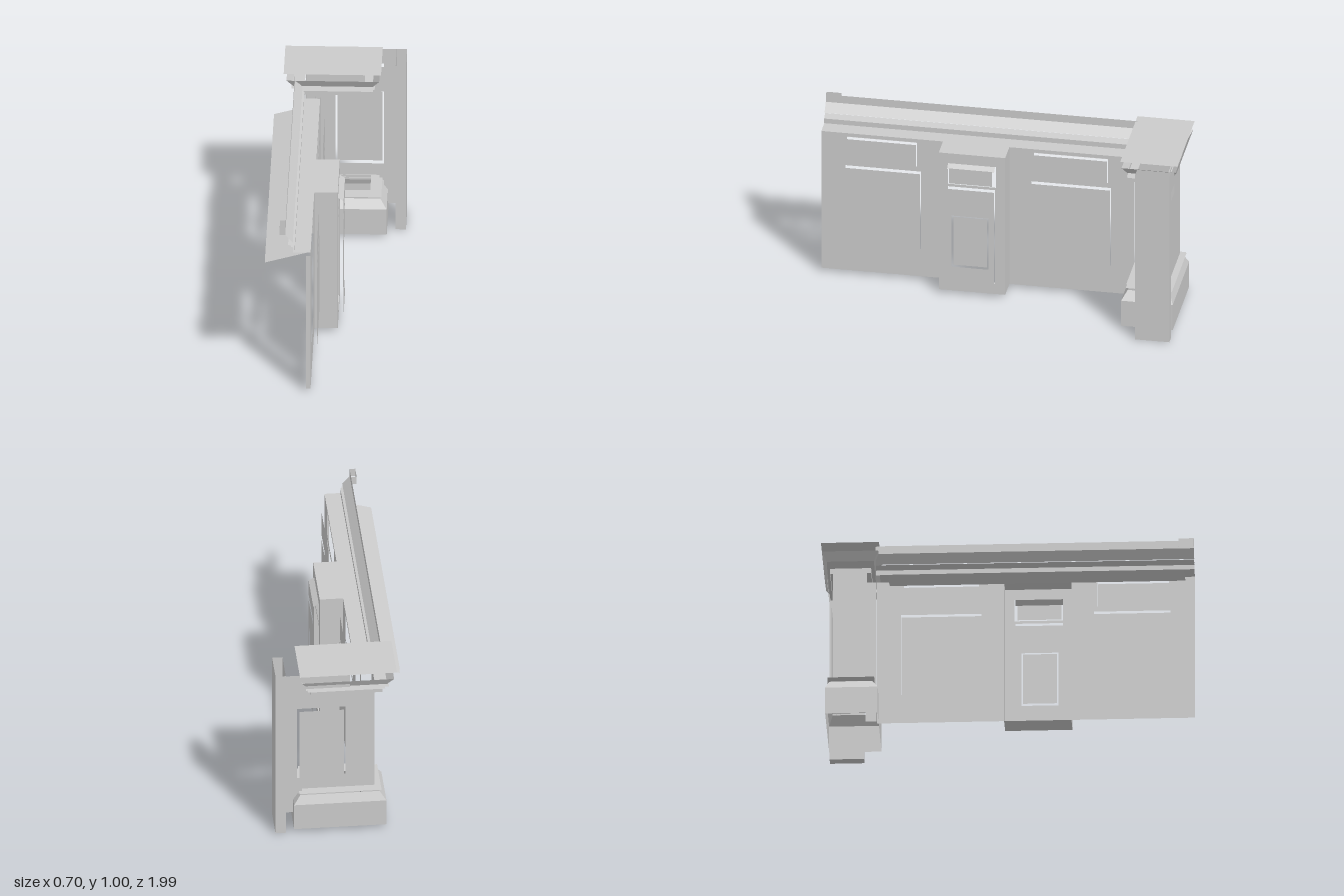
import * as THREE from 'three';

const mat = new THREE.MeshStandardMaterial({ color: 0xcccccc, side: THREE.DoubleSide, flatShading: true });

export function createModel() {
  const model = new THREE.Group();
  model.name = 'panelledCounter';

  const add = (name, geometry) => {
    const mesh = new THREE.Mesh(geometry, mat);
    mesh.name = name;
    model.add(mesh);
    return mesh;
  };

  // Ribbon: an open (x, y) profile carried along z from z0 to z1
  const ribbon = (name, profile, z0, z1) => {
    const pos = [], idx = [];
    profile.forEach(([x, y], i) => {
      pos.push(x, y, z0, x, y, z1);
      const a = 2 * i;
      if (i < profile.length - 1) idx.push(a, a + 1, a + 3, a, a + 3, a + 2);
    });
    const g = new THREE.BufferGeometry();
    g.setAttribute('position', new THREE.Float32BufferAttribute(pos, 3));
    g.setIndex(idx);
    g.computeVertexNormals();
    return add(name, g);
  };

  // Flat sheet with rectangular holes; rectangles are [u0, u1, v0, v1]
  const outline = ([a, b, c, d], path) =>
    path.moveTo(a, c).lineTo(b, c).lineTo(b, d).lineTo(a, d).closePath();
  const sheet = (rect, holes = []) => {
    const s = new THREE.Shape();
    outline(rect, s);
    holes.forEach((h) => {
      const p = new THREE.Path();
      outline(h, p);
      s.holes.push(p);
    });
    return new THREE.ShapeGeometry(s);
  };
  // Facing x, rectangles given as [z0, z1, y0, y1]
  const sideSheet = (name, x, rect, holes = []) => {
    const flip = ([a, b, c, d]) => [-b, -a, c, d];
    return add(name, sheet(flip(rect), holes.map(flip)).rotateY(Math.PI / 2).translate(x, 0, 0));
  };
  // Facing z, rectangles given as [x0, x1, y0, y1]
  const frontSheet = (name, z, rect, holes) => add(name, sheet(rect, holes).translate(0, 0, z));
  // Facing up, rectangles given as [x0, x1, z0, z1]
  const flatSheet = (name, y, rect, holes = []) => {
    const flip = ([a, b, c, d]) => [a, b, -d, -c];
    return add(name, sheet(flip(rect), holes.map(flip)).rotateX(-Math.PI / 2).translate(0, y, 0));
  };

  // Open rectangular band through rings of [y, x0, x1, z0, z1]
  const band = (name, rings) => {
    const pos = [], idx = [];
    rings.forEach(([y, x0, x1, z0, z1], r) => {
      pos.push(x0, y, z1, x1, y, z1, x1, y, z0, x0, y, z0);
      if (r === 0) return;
      for (let i = 0; i < 4; i++) {
        const j = (i + 1) % 4, a = 4 * (r - 1), b = 4 * r;
        idx.push(a + i, a + j, b + j, a + i, b + j, b + i);
      }
    });
    const g = new THREE.BufferGeometry();
    g.setAttribute('position', new THREE.Float32BufferAttribute(pos, 3));
    g.setIndex(idx);
    return add(name, g.toNonIndexed());
  };

  // Long wall: two bays, each with a large and a small opening and raised panels
  const bays = [
    { wall: [0.34, 1, 0.02, 0.85], panels: [[0.46, 0.87, 0.185, 0.655], [0.48, 0.86, 0.685, 0.83]] },
    { wall: [-0.7, -0.02, 0.02, 0.85], panels: [[-0.57, -0.14, 0.185, 0.655], [-0.555, -0.155, 0.685, 0.83]] },
  ];
  bays.forEach(({ wall, panels }) => {
    sideSheet('wallFrame', -0.105, wall, panels);
    panels.forEach((p) => sideSheet('wallPanel', -0.075, p));
  });
  frontSheet('wallEnd', 1, [-0.13, -0.105, 0.02, 0.83]);

  // Pillar in the middle of the wall, open at the back
  const pillarDoor = [0.035, 0.29, 0.08, 0.65];
  const pillarTop = [0.03, 0.29, 0.665, 0.79];
  const doorHole = [0.065, 0.265, 0.18, 0.49];
  sideSheet('pillarFace', 0.02, [-0.02, 0.34, 0.02, 0.85], [pillarDoor, pillarTop]);
  for (const z of [-0.02, 0.34]) frontSheet('pillarSide', z, [-0.105, 0.02, 0.02, 0.85]);
  flatSheet('pillarBottom', 0.02, [-0.105, 0.02, -0.02, 0.34]);
  flatSheet('pillarCap', 0.85, [-0.105, 0.02, -0.02, 0.34]);
  sideSheet('pillarDoor', 0.05, pillarDoor, [doorHole]);
  sideSheet('pillarDoorPanel', 0.045, [0.075, 0.255, 0.19, 0.48]);
  sideSheet('pillarTopPanel', 0.05, [0.045, 0.28, 0.685, 0.775]);
  ribbon('pillarTopLedge', [[0.02, 0.79], [0.05, 0.77]], 0.035, 0.29);

  // Sloping worktop of two thin layers
  for (const drop of [0, 0.022]) {
    ribbon('worktop', [[-0.35, 0.78 - drop], [-0.105, 0.85 - drop]], -0.63, 0.95);
  }

  // Ledge and rail mouldings along the wall
  ribbon('wallLedge', [[-0.2, 0.85], [-0.105, 0.85]], -0.68, 1);
  ribbon('lowerMoulding', [[-0.19, 0.852], [-0.19, 0.88], [-0.21, 0.883]], -0.7, 1);
  ribbon('thinMoulding', [[-0.225, 0.895], [-0.195, 0.89]], -0.7, 1);
  ribbon('railCrown', [[-0.24, 1], [-0.24, 0.955], [-0.2, 0.91]], -0.7, 1);
  band('railEnd', [[0.955, -0.27, -0.24, 0.92, 1], [1, -0.27, -0.24, 0.92, 1]]);

  // Corner pedestal: skirting, shaft open to the front, and crown
  band('pedestalBase', [
    [0.02, -0.245, 0.25, -0.97, -0.69],
    [0.172, -0.245, 0.25, -0.97, -0.69],
    [0.222, -0.21, 0.215, -0.95, -0.72],
  ]);
  [[0.235, 0.22], [0.25, 0.205]].forEach(([y, r]) =>
    flatSheet('baseMoulding', y, [-r, r, -0.96, -0.71], [[-0.16, 0.16, -0.925, -0.76]]));
  const shaftPanel = [-0.03, 0.23, 0.32, 0.76];
  frontSheet('shaftBack', -0.93, [-0.185, 0.295, 0.22, 0.91], [shaftPanel]);
  frontSheet('shaftBackPanel', -0.945, [-0.02, 0.22, 0.33, 0.75]);
  sideSheet('shaftSide', -0.185, [-0.93, -0.75, 0.22, 0.91]);
  sideSheet('shaftCorner', -0.13, [-0.76, -0.7, 0.02, 0.84]);
  band('neckMoulding', [
    [0.85, -0.225, 0.16, -0.945, -0.725],
    [0.88, -0.225, 0.16, -0.945, -0.725],
  ]);
  [[0.88, 0.24, 0.175], [0.893, 0.26, 0.185]].forEach(([y, a, b]) =>
    flatSheet('crownFillet', y, [-a, b, -0.96, -0.71], [[-0.19, 0.13, -0.92, -0.75]]));
  band('crown', [
    [0.91, -0.25, 0.175, -0.96, -0.71],
    [0.955, -0.285, 0.21, -0.985, -0.685],
  ]);
  flatSheet('pedestalTop', 0.998, [-0.3, 0.22, -0.99, -0.68]);
  frontSheet('pedestalTopBack', -0.97, [-0.05, 0.295, 0.91, 0.998]);

  // Tall end post, open at the top
  band('endPost', [
    [0, 0.295, 0.35, -0.97, -0.785],
    [1, 0.295, 0.35, -0.97, -0.785],
  ]);
  flatSheet('endPostBottom', 0, [0.295, 0.35, -0.97, -0.785]);
  frontSheet('endPostLink', -0.91, [0.23, 0.295, 0.09, 0.955]);

  // Shared normals
  model.traverse((o) => o.isMesh && o.geometry.computeVertexNormals());
  return model;
}
